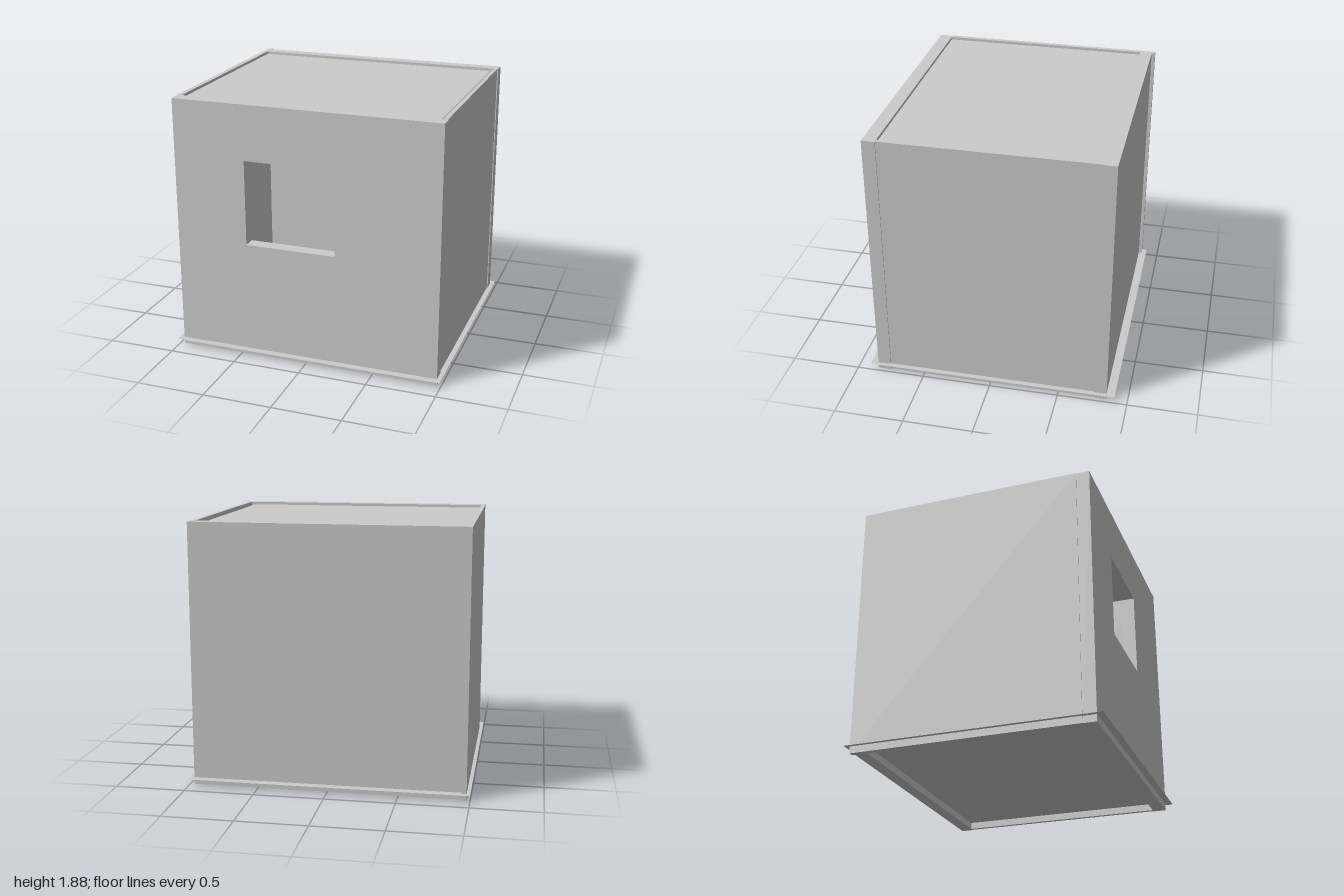
import * as THREE from 'three';

const H = 1.88; // wall height
const material = new THREE.MeshStandardMaterial({ color: 0xcccccc, side: THREE.DoubleSide });

function add(group, name, geometry) {
  const mesh = new THREE.Mesh(geometry, material);
  mesh.name = name;
  group.add(mesh);
  return mesh;
}

// Solid wall given by its plan extents
function wall(group, name, x0, x1, z0, z1) {
  const mesh = add(group, name, new THREE.BoxGeometry(x1 - x0, H, z1 - z0));
  mesh.position.set((x0 + x1) / 2, H / 2, (z0 + z1) / 2);
}

// Thin horizontal sheet
function sheet(group, name, x0, x1, z0, z1, y) {
  const geometry = new THREE.PlaneGeometry(x1 - x0, z1 - z0).rotateX(-Math.PI / 2);
  add(group, name, geometry).position.set((x0 + x1) / 2, y, (z0 + z1) / 2);
}

function rectangle(target, x0, x1, y0, y1) {
  target.moveTo(x0, y0);
  target.lineTo(x1, y0);
  target.lineTo(x1, y1);
  target.lineTo(x0, y1);
  target.closePath();
  return target;
}

export function createModel() {
  const room = new THREE.Group();
  room.name = 'room';

  // Front wall with a window opening
  const outline = rectangle(new THREE.Shape(), -0.97, 0.97, 0, H);
  outline.holes.push(rectangle(new THREE.Path(), -0.44, 0.22, 0.86, 1.48));
  add(room, 'frontWall', new THREE.ExtrudeGeometry(outline, { depth: 0.095, bevelEnabled: false }))
    .position.z = 0.755;

  // Plain walls; the left one reaches past the back wall
  wall(room, 'backWall', -0.94, 0.97, -0.85, -0.76);
  wall(room, 'leftWall', -0.975, -0.94, -0.875, 0.755);
  wall(room, 'rightWall', 0.935, 0.963, -0.76, 0.755);

  // Floor juts out beyond the walls; ceiling leaves a slit on the left side
  sheet(room, 'floor', -1, 1, -0.91, 0.9, 0.05);
  sheet(room, 'ceiling', -0.94, 0.905, -0.76, 0.755, 1.86);

  return room;
}
